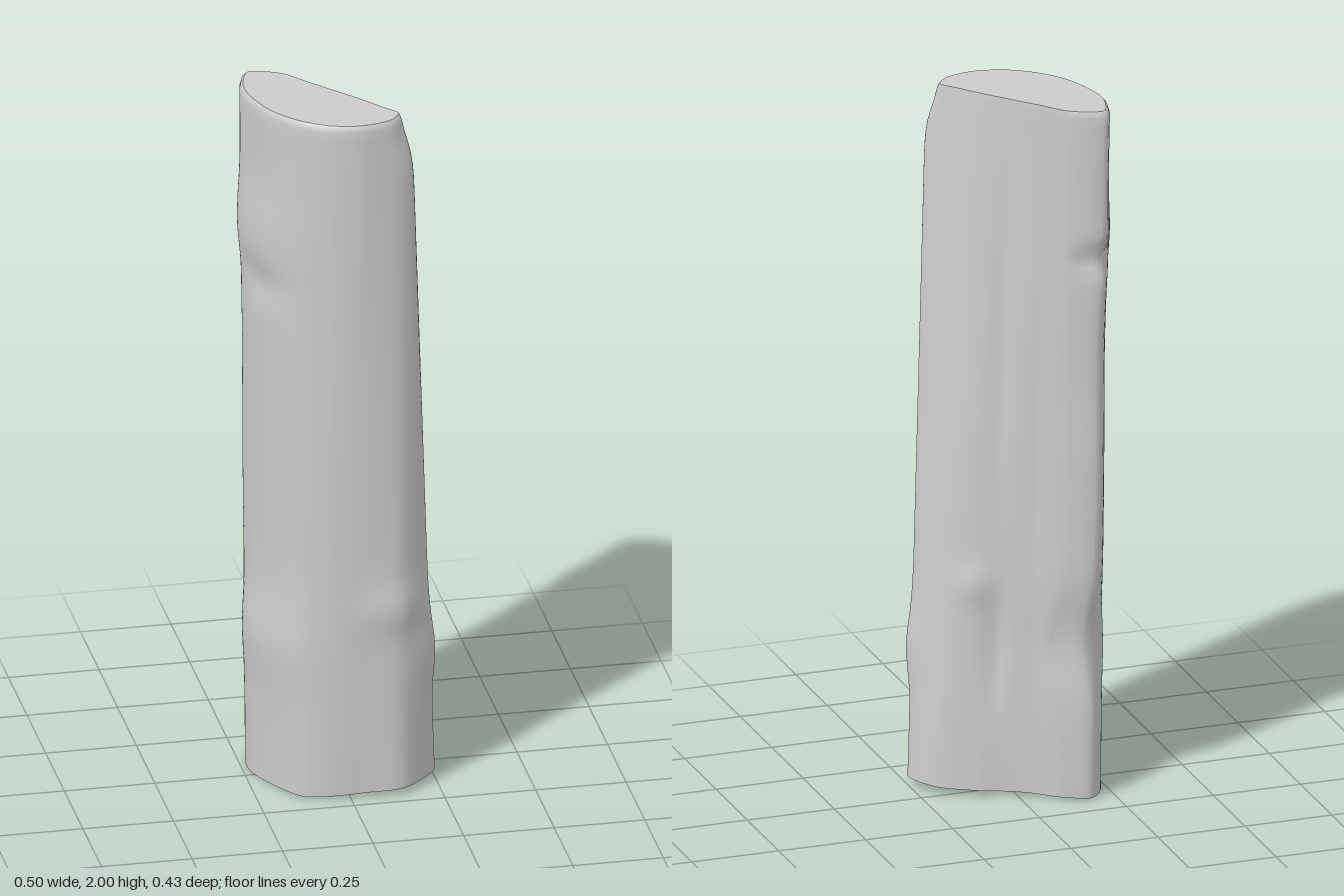
import * as THREE from 'three';

// Outlines of the split log seen from above, [x, z]: right edge, round bark side, back corner, split face
const TOP = [[0.175, 0.17], [0.13, 0.2], [0.03, 0.215], [-0.06, 0.195], [-0.14, 0.14], [-0.2, 0.06], [-0.235, -0.04],
  [-0.242, -0.12], [-0.21, -0.21], [-0.12, -0.18], [-0.06, -0.11], [0, -0.04], [0.06, 0.03], [0.12, 0.105]];
const BOTTOM = [[0.25, 0.11], [0.15, 0.205], [0.04, 0.205], [-0.05, 0.2], [-0.13, 0.175], [-0.19, 0.08], [-0.23, -0.02],
  [-0.23, -0.1], [-0.18, -0.165], [-0.1, -0.14], [-0.03, -0.09], [0.04, -0.06], [0.11, -0.04], [0.2, 0.01]];

// Dents and swellings: [outline position, height, outward push, spread around, spread in height]
const BUMPS = [
  [8.2, 1.57, -0.035, 0.6, 0.035], [8.5, 0.45, -0.05, 1.1, 0.13], [8.4, 1.25, -0.01, 1, 0.2],
  [6, 1.62, 0.015, 1.5, 0.12], [5.5, 1.48, -0.012, 1, 0.05], [5.5, 0.42, 0.018, 1.5, 0.12],
  [1.3, 0.55, 0.014, 0.8, 0.06], [0, 0.4, 0.014, 0.6, 0.1], [12, 0.6, 0.02, 0.5, 0.05],
  [11.5, 0.42, -0.02, 0.5, 0.16], [10.4, 1.4, 0.012, 0.4, 0.3], [11.3, 1.3, -0.012, 0.4, 0.35],
  [12.3, 1.0, 0.012, 0.5, 0.4], [9.8, 0.85, -0.012, 0.4, 0.3], [13, 0.2, 0.01, 0.4, 0.2],
  [0, 2, -0.035, 1, 0.09],
];
const N = TOP.length, SEG = 84, ROWS = 64;

// One closed cross-section at height y
function section(y, scale = 1) {
  const t = 1 - y / 2;
  const curve = new THREE.CatmullRomCurve3(TOP.map(([x, z], i) => new THREE.Vector3(
    THREE.MathUtils.lerp(x, BOTTOM[i][0], t), 0, THREE.MathUtils.lerp(z, BOTTOM[i][1], t))), true, 'catmullrom', 0.4);
  return Array.from({ length: SEG }, (_, k) => {
    const p = curve.getPoint(k / SEG), u = k / SEG * N;
    let push = 0;
    for (const [c, h, amount, du, dy] of BUMPS) {
      const d = Math.min(Math.abs(u - c), N - Math.abs(u - c));
      push += amount * Math.exp(-((d / du) ** 2) - ((y - h) / dy) ** 2);
    }
    p.addScaledVector(p.clone().normalize(), push).multiplyScalar(scale);
    // the foot is sawn slightly askew
    p.y = y + Math.max(0, 1 - y / 0.3) * 0.05 * (p.x + 0.23);
    return p;
  });
}

function meshFrom(name, points, index) {
  const geo = new THREE.BufferGeometry().setFromPoints(points);
  geo.setIndex(index);
  geo.computeVertexNormals();
  const mesh = new THREE.Mesh(geo, new THREE.MeshStandardMaterial({ color: 0xcccccc, roughness: 0.9 }));
  mesh.name = name;
  return mesh;
}

// Flat sawn end, fanned from its middle
function sawnEnd(name, ring, up) {
  const middle = ring.reduce((a, p) => a.add(p), new THREE.Vector3()).divideScalar(SEG);
  const index = [];
  for (let k = 0; k < SEG; k++) {
    const n = (k + 1) % SEG;
    index.push(SEG, ...(up ? [n, k] : [k, n]));
  }
  return meshFrom(name, [...ring, middle], index);
}

export function createModel() {
  const group = new THREE.Group();
  group.name = 'splitLog';

  // Long sides, with a softened rim at the top
  const rings = [];
  for (let r = 0; r <= ROWS; r++) rings.push(section(1.98 * r / ROWS));
  rings.push(section(1.993, 0.985), section(2, 0.96));
  const index = [];
  for (let r = 0; r < rings.length - 1; r++) {
    for (let k = 0; k < SEG; k++) {
      const n = (k + 1) % SEG, a = r * SEG + k, b = r * SEG + n;
      index.push(a, a + SEG, b, b, a + SEG, b + SEG);
    }
  }
  group.add(meshFrom('barkAndSplitFace', rings.flat(), index));

  group.add(sawnEnd('topEnd', rings[rings.length - 1], true));
  group.add(sawnEnd('bottomEnd', rings[0], false));
  return group;
}
